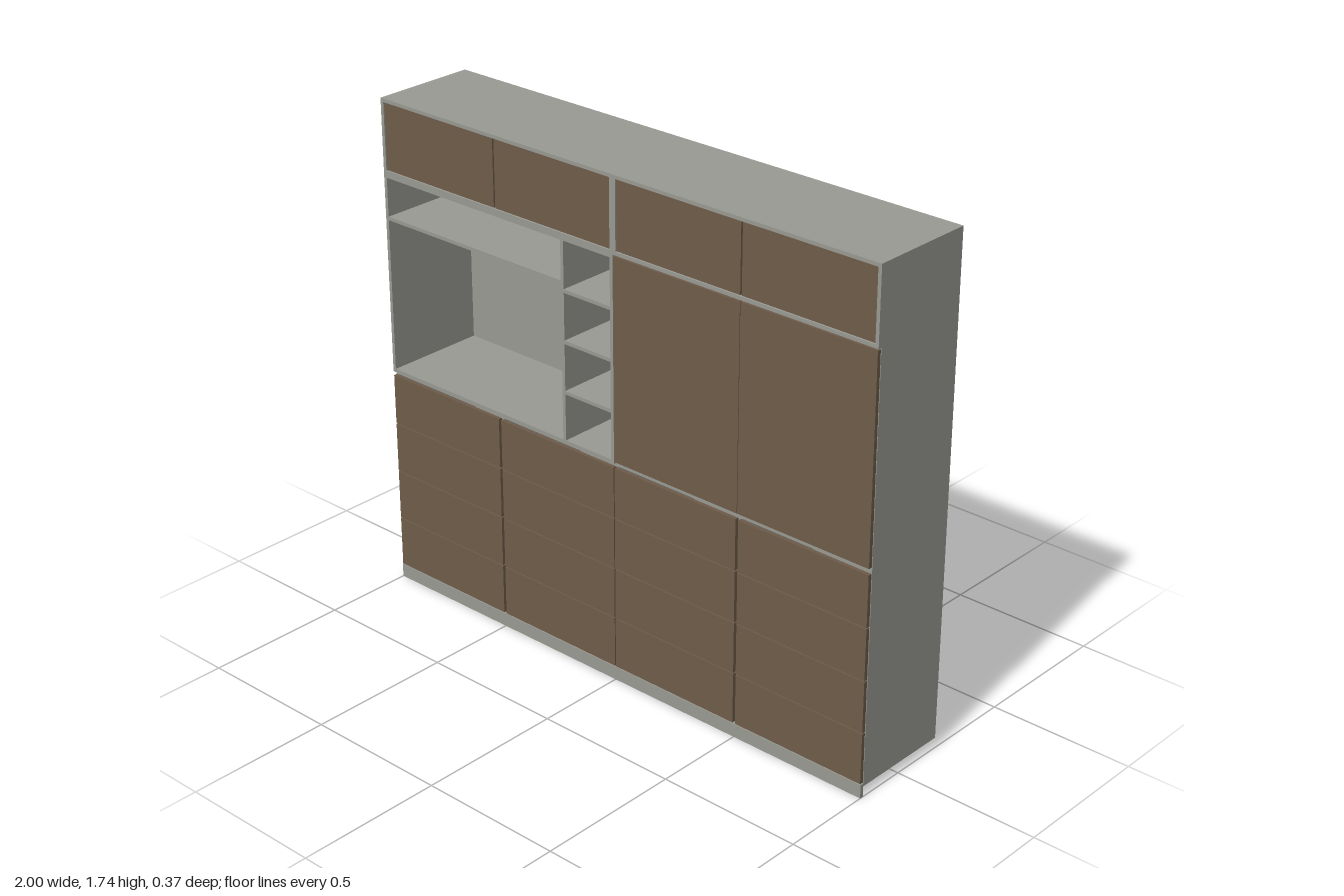
import * as THREE from 'three';

export function createModel() {
  const root = new THREE.Group();
  root.name = 'wallCabinet';

  const grey = new THREE.MeshStandardMaterial({ color: 0x9a9a94 });
  grey.name = 'grey panel';
  const brown = new THREE.MeshStandardMaterial({ color: 0x6e5c49 });
  brown.name = 'brown front';

  const BACK = -0.185, FRONT = 0.185, INSET = 0.172; // depth planes
  const T = 0.012; // panel thickness

  // Box given by its limits on each axis
  function box(parent, name, mat, x0, x1, y0, y1, z0 = BACK, z1 = FRONT) {
    const mesh = new THREE.Mesh(new THREE.BoxGeometry(x1 - x0, y1 - y0, z1 - z0), mat);
    mesh.position.set((x0 + x1) / 2, (y0 + y1) / 2, (z0 + z1) / 2);
    mesh.name = name;
    parent.add(mesh);
  }

  function section(name) {
    const g = new THREE.Group();
    g.name = name;
    root.add(g);
    return g;
  }

  // Open-fronted carcass: two sides, top, bottom and back
  function carcass(parent, x0, x1, y0, y1, front) {
    box(parent, 'sidePanel', grey, x0, x0 + T, y0, y1, BACK, front);
    box(parent, 'sidePanel', grey, x1 - T, x1, y0, y1, BACK, front);
    box(parent, 'bottomPanel', grey, x0 + T, x1 - T, y0, y0 + T, BACK, front);
    box(parent, 'topPanel', grey, x0 + T, x1 - T, y1 - T, y1, BACK, front);
    box(parent, 'backPanel', grey, x0 + T, x1 - T, y0 + T, y1 - T, BACK, BACK + 0.01);
  }

  // Base: two drawer units with overlaid fronts and a plinth
  const base = section('drawerBase');
  box(base, 'plinth', grey, -1, 1, 0, 0.047, INSET, FRONT);
  for (const x of [-1, 0]) {
    carcass(base, x, x + 1, 0.037, 0.78, INSET);
    box(base, 'divider', grey, x + 0.49, x + 0.51, 0.049, 0.768, BACK + 0.01, INSET);
    for (let row = 0; row < 4; row++) {
      const y = 0.05 + row * 0.18;
      box(base, 'drawerFront', brown, x + 0.002, x + 0.495, y, y + 0.176, INSET, FRONT);
      box(base, 'drawerFront', brown, x + 0.505, x + 0.998, y, y + 0.176, INSET, FRONT);
    }
  }

  // Open shelving, flush with the fronts
  const niche = section('openShelves');
  carcass(niche, -1, 0, 0.78, 1.48, FRONT);
  box(niche, 'divider', grey, -0.217, -0.205, 0.792, 1.468, BACK + 0.01);
  box(niche, 'wideShelf', grey, -0.988, -0.217, 1.322, 1.334, BACK + 0.01);
  for (const y of [0.952, 1.124, 1.296]) {
    box(niche, 'smallShelf', grey, -0.205, -0.012, y, y + T, BACK + 0.01);
  }

  // Closed cupboard with two overlaid doors
  const cupboard = section('cupboard');
  carcass(cupboard, 0, 1, 0.78, 1.48, INSET);
  box(cupboard, 'divider', grey, 0.494, 0.506, 0.792, 1.468, BACK + 0.01, INSET);
  box(cupboard, 'door', brown, 0.002, 0.499, 0.787, 1.475, INSET, FRONT);
  box(cupboard, 'door', brown, 0.501, 0.998, 0.787, 1.475, INSET, FRONT);

  // Top cupboards with inset doors
  const upper = section('topCupboards');
  for (const x of [-1, 0]) {
    carcass(upper, x, x + 1, 1.48, 1.735, FRONT);
    box(upper, 'divider', grey, x + 0.49, x + 0.51, 1.492, 1.723, BACK + 0.01, INSET - 0.005);
    box(upper, 'door', brown, x + 0.014, x + 0.497, 1.494, 1.721, INSET - 0.005, FRONT - 0.003);
    box(upper, 'door', brown, x + 0.503, x + 0.986, 1.494, 1.721, INSET - 0.005, FRONT - 0.003);
  }

  return root;
}
